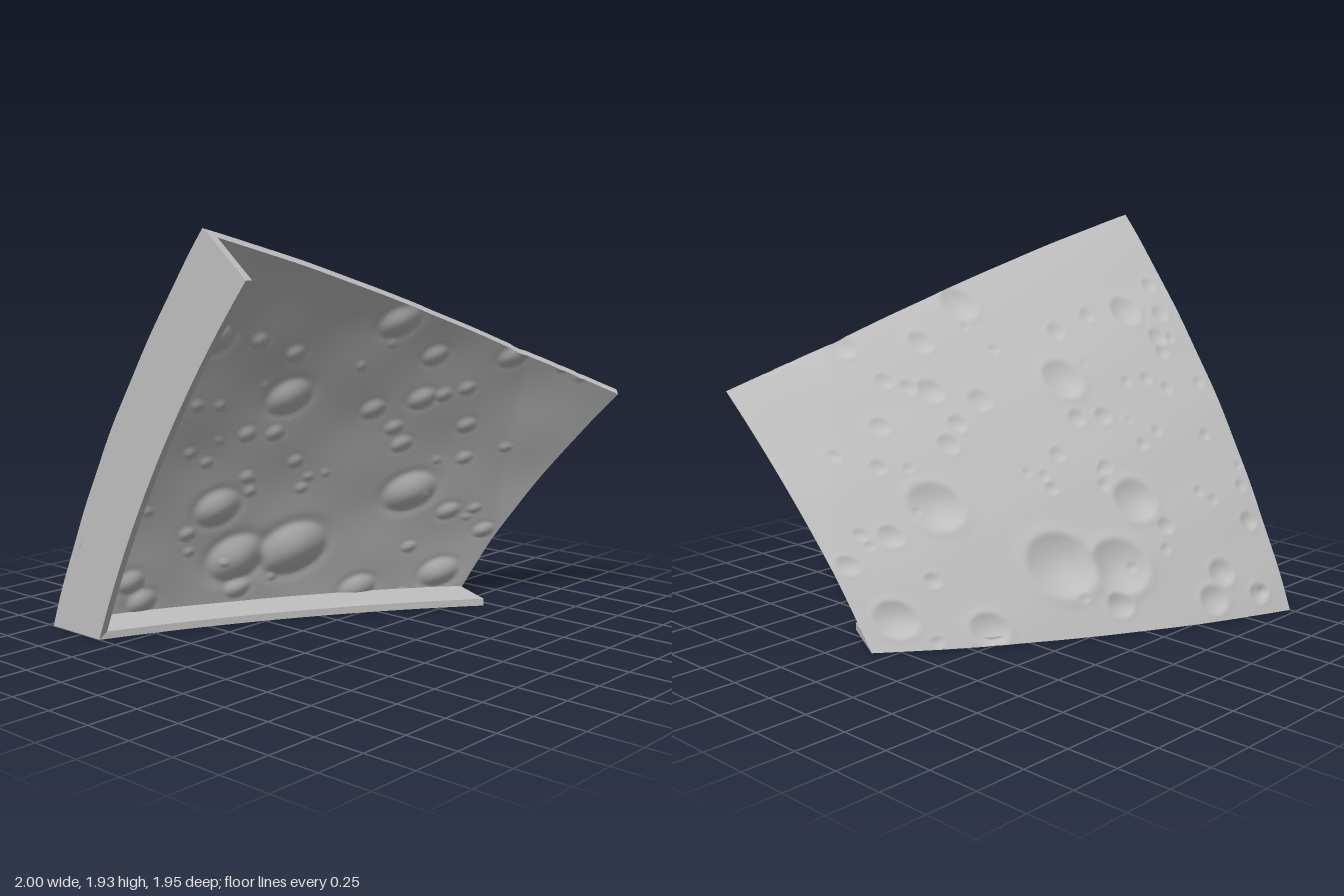
import * as THREE from 'three';

// The panel is a patch of a large sphere
const C = new THREE.Vector3(-3.395, -2.372, 5.394), R = 7.2;
const THICK = 0.04, PLATE = 0.036, INNER_R = 6.89;
const sphereZ = (x, y, r) => C.z - Math.sqrt(r * r - (x - C.x) ** 2 - (y - C.y) ** 2);
const topY = (x) => 1.6 - 0.395 * x - 0.065 * x * x;
const rightX = (y) => 0.855 + 0.127 * y;

// The upper free corner bends forward past a slanted crease
const cornerBend = (x, y) => 0.16 * Math.max(0, (x - 0.6) * 0.958 + (y - 1.35) * 0.287);

// Main craters: x, y, radius
const craters = [
  [0.02, 0.33, 0.15], [-0.23, 0.3, 0.13], [-0.4, 0.59, 0.1], [0.44, 0.62, 0.11],
  [-0.29, 1.16, 0.09], [-0.73, 1.46, 0.07], [0, 1.52, 0.075], [0.1, 1.08, 0.05],
  [0.28, 1.13, 0.055], [0.23, 1.35, 0.05], [-0.36, 1.38, 0.04], [-0.54, 1.45, 0.035],
  [0.73, 0.14, 0.085], [0.54, 1.34, 0.055], [-0.7, 0.22, 0.065], [-0.62, 0.1, 0.07],
  [-0.18, 0.13, 0.06], [0.39, 0.07, 0.08], [0.53, 0.98, 0.04], [0.65, 0.5, 0.05],
  [0.3, 0.89, 0.045], [-0.9, 1.44, 0.04], [-0.83, 1.33, 0.045], [-0.4, 0.98, 0.04],
  [-0.28, 0.98, 0.04], [-0.92, 0.44, 0.045], [-0.86, 0.1, 0.05], [0.6, 0.8, 0.035],
  [-0.53, 0.84, 0.03], [-0.13, 0.82, 0.035], [-0.05, 0.67, 0.03], [-0.32, 0.75, 0.035],
  [-0.5, 0.46, 0.04], [0.55, 0.3, 0.035], [0.44, 1.18, 0.035], [0.84, 0.38, 0.045],
  [-0.92, 1.58, 0.035], [-0.82, 1.26, 0.035], [-0.76, 1.09, 0.03], [-0.68, 1.14, 0.03],
  [-0.86, 0.86, 0.03], [-0.28, 0.67, 0.03], [0.36, 1.15, 0.035], [0.23, 0.98, 0.04],
];

// Small seeded pits
let seed = 11;
const rand = () => (seed = (seed * 16807) % 2147483647) / 2147483647;
for (let i = 0; i < 30; i++) {
  craters.push([-0.97 + rand() * 1.8, 0.03 + rand() * 1.5, 0.018 + rand() * 0.014]);
}

// Height of the cratered ground: soft bowls with low rims, plus gentle waves
function relief(x, y) {
  let h = 0.003 * Math.sin(9 * x + 4 * y) * Math.sin(11 * y - 3 * x);
  for (const [cx, cy, r] of craters) {
    const d = Math.hypot(x - cx, y - cy) / r;
    if (d > 1.6) continue;
    if (d < 1) h -= 0.25 * r * (1 - d * d) ** 1.4;
    h += 0.03 * r * Math.exp(-(((d - 1.05) / 0.22) ** 2));
  }
  return h;
}

// Point of the shell, depth measured inward from the outer face
function shellPoint(u, v, depth) {
  let x = -1 + 1.9 * u, y = 1.5 * v;
  for (let i = 0; i < 6; i++) {
    x = -1 + u * (1 + rightX(y));
    y = v * topY(x);
  }
  const p = new THREE.Vector3(x, y, sphereZ(x, y, R));
  const out = p.clone().sub(C).normalize();
  p.z += cornerBend(x, y);
  p.addScaledVector(out, relief(x, y) - depth);
  p.x = u === 0 ? -1 : Math.max(-1, p.x);
  p.y = v === 0 ? 0 : Math.max(0, p.y);
  return p;
}

// Grid surface from a point function of (s, t)
function gridSurface(f, ns, nt, flip) {
  const pos = [], idx = [];
  for (let j = 0; j <= nt; j++) {
    for (let i = 0; i <= ns; i++) pos.push(...f(i / ns, j / nt).toArray());
  }
  for (let j = 0; j < nt; j++) {
    for (let i = 0; i < ns; i++) {
      const a = j * (ns + 1) + i, b = a + 1, c = a + ns + 1, d = c + 1;
      if (flip) idx.push(a, c, b, b, c, d);
      else idx.push(a, b, c, b, d, c);
    }
  }
  const g = new THREE.BufferGeometry();
  g.setAttribute('position', new THREE.Float32BufferAttribute(pos, 3));
  g.setIndex(idx);
  g.computeVertexNormals();
  return g;
}

// Flat plate bounded by an outer and an inner arc
function arcPlate(outer, inner) {
  const shape = new THREE.Shape([...outer, ...inner.reverse()]);
  return new THREE.ExtrudeGeometry(shape, { depth: PLATE, bevelEnabled: false });
}

function arc(from, to, f, n = 32) {
  return Array.from({ length: n + 1 }, (_, i) => f(from + ((to - from) * i) / n));
}

export function createModel() {
  const group = new THREE.Group();
  const stone = new THREE.MeshStandardMaterial({ color: 0xc0c0c0 });
  stone.name = 'stoneGrey';
  const add = (name, geometry) => {
    const mesh = new THREE.Mesh(geometry, stone);
    mesh.name = name;
    group.add(mesh);
  };

  // Cratered shell, outside and inside
  const N = 180;
  add('outerSurface', gridSurface((u, v) => shellPoint(u, v, 0), N, N, true));
  add('innerSurface', gridSurface((u, v) => shellPoint(u, v, THICK), 140, 140, false));

  // Cut edges of the shell
  add('bottomEdge', gridSurface((s, t) => shellPoint(s, 0, t * THICK), N, 1, false));
  add('topEdge', gridSurface((s, t) => shellPoint(s, 1, t * THICK), N, 1, true));
  add('sideWallEdge', gridSurface((s, t) => shellPoint(0, s, t * THICK), N, 1, true));
  add('freeSideEdge', gridSurface((s, t) => shellPoint(1, s, t * THICK), N, 1, false));

  // Upright joining flange
  const flange = arcPlate(
    arc(0, 1.92, (y) => new THREE.Vector2(-sphereZ(-1, y, R - 0.02), y)),
    arc(0, 1.72, (y) => new THREE.Vector2(-sphereZ(-1, y, INNER_R), y)),
  );
  flange.rotateY(Math.PI / 2).translate(-1, 0, 0);
  add('sideFlange', flange);

  // Floor flange
  const base = arcPlate(
    arc(-1, 0.845, (x) => new THREE.Vector2(x, -sphereZ(x, 0, R - 0.02))),
    arc(-1, 0.7, (x) => new THREE.Vector2(x, -sphereZ(x, 0, INNER_R))),
  );
  base.rotateX(-Math.PI / 2);
  add('bottomFlange', base);

  return group;
}
